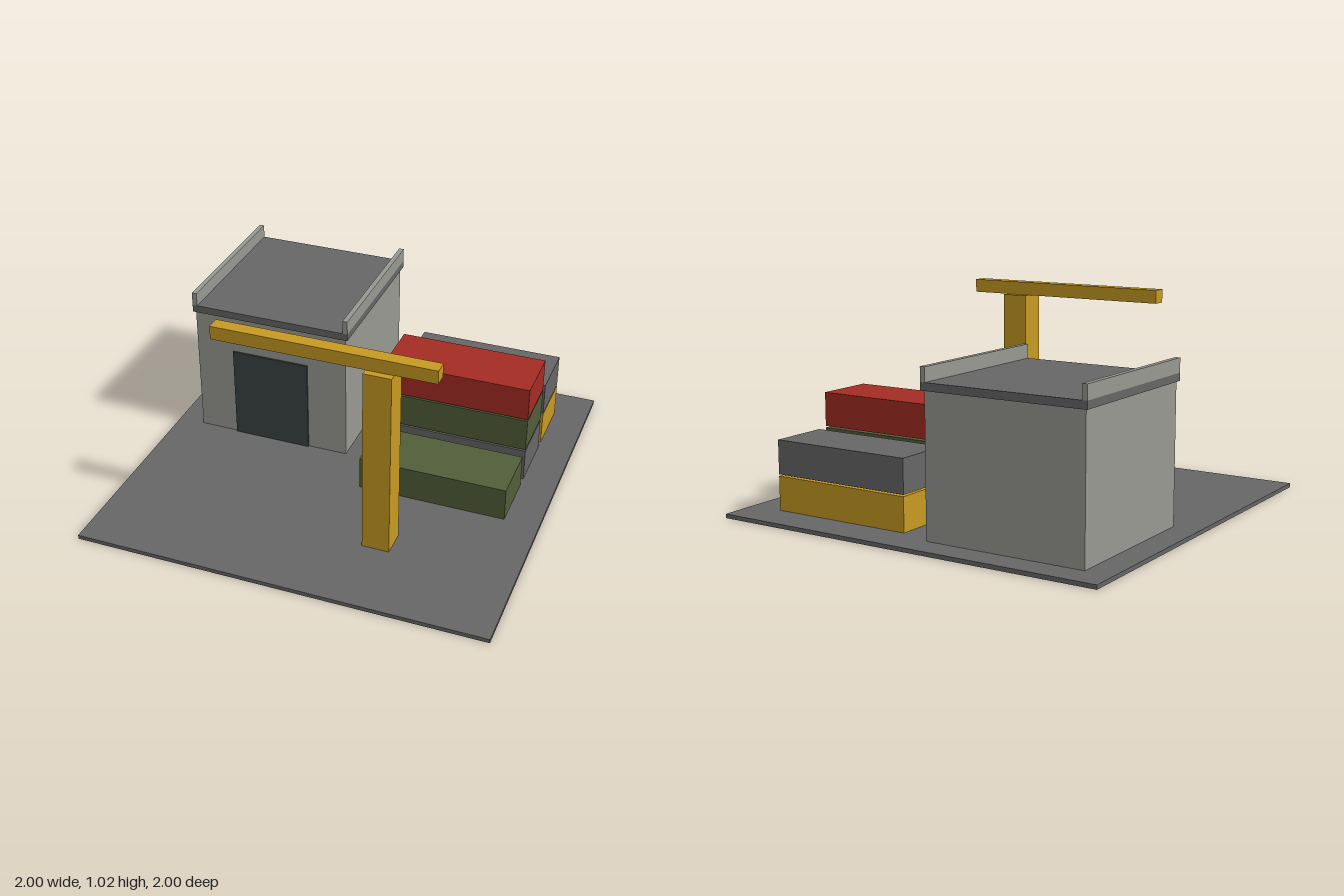
import * as THREE from 'three';

const flat = (name, color) => {
  const m = new THREE.MeshStandardMaterial({ color });
  m.name = name;
  return m;
};

export function createModel() {
  const grey = flat('asphalt grey', 0x666666);
  const concrete = flat('concrete', 0x999993);
  const dark = flat('dark door', 0x3a4242);
  const yellow = flat('crane yellow', 0xc79a22);
  const red = flat('container red', 0xa52c24);
  const green = flat('container green', 0x525e3a);

  const model = new THREE.Group();
  model.name = 'containerYard';

  // Box from its lower and upper limits on each axis
  const box = (parent, name, material, [x0, x1], [y0, y1], [z0, z1]) => {
    const mesh = new THREE.Mesh(new THREE.BoxGeometry(x1 - x0, y1 - y0, z1 - z0), material);
    mesh.position.set((x0 + x1) / 2, (y0 + y1) / 2, (z0 + z1) / 2);
    mesh.name = name;
    parent.add(mesh);
  };
  const group = (name) => {
    const g = new THREE.Group();
    g.name = name;
    model.add(g);
    return g;
  };

  // Yard slab
  box(model, 'ground', grey, [-1, 1], [0, 0.02], [-1, 1]);

  // Warehouse with an overhanging roof and a parapet on each side
  const warehouse = group('warehouse');
  box(warehouse, 'walls', concrete, [-0.867, -0.067], [0.02, 0.69], [-0.865, -0.063]);
  box(warehouse, 'roof', grey, [-0.88, -0.055], [0.69, 0.727], [-0.88, -0.055]);
  for (const x of [-0.88, -0.08]) {
    box(warehouse, 'parapet', concrete, [x, x + 0.025], [0.727, 0.795], [-0.88, -0.055]);
  }
  box(warehouse, 'door', dark, [-0.67, -0.27], [0.02, 0.5], [-0.063, -0.054]);

  // Stacked containers: back edge of each row, colours from the bottom up
  const containers = group('containers');
  const rows = [
    [-0.12, [green]],
    [-0.468, [grey, green, red]],
    [-0.812, [yellow, grey]],
  ];
  for (const [z, stack] of rows) {
    stack.forEach((material, i) => {
      const y = 0.02 + i * 0.175;
      box(containers, 'container', material, [0.095, 0.83], [y, y + 0.167], [z, z + 0.295]);
    });
  }

  // Crane
  const crane = group('crane');
  box(crane, 'craneColumn', yellow, [0.267, 0.4], [0.02, 0.957], [0.467, 0.6]);
  box(crane, 'craneBeam', yellow, [-0.47, 0.597], [0.957, 1.023], [0.5, 0.567]);

  return model;
}
